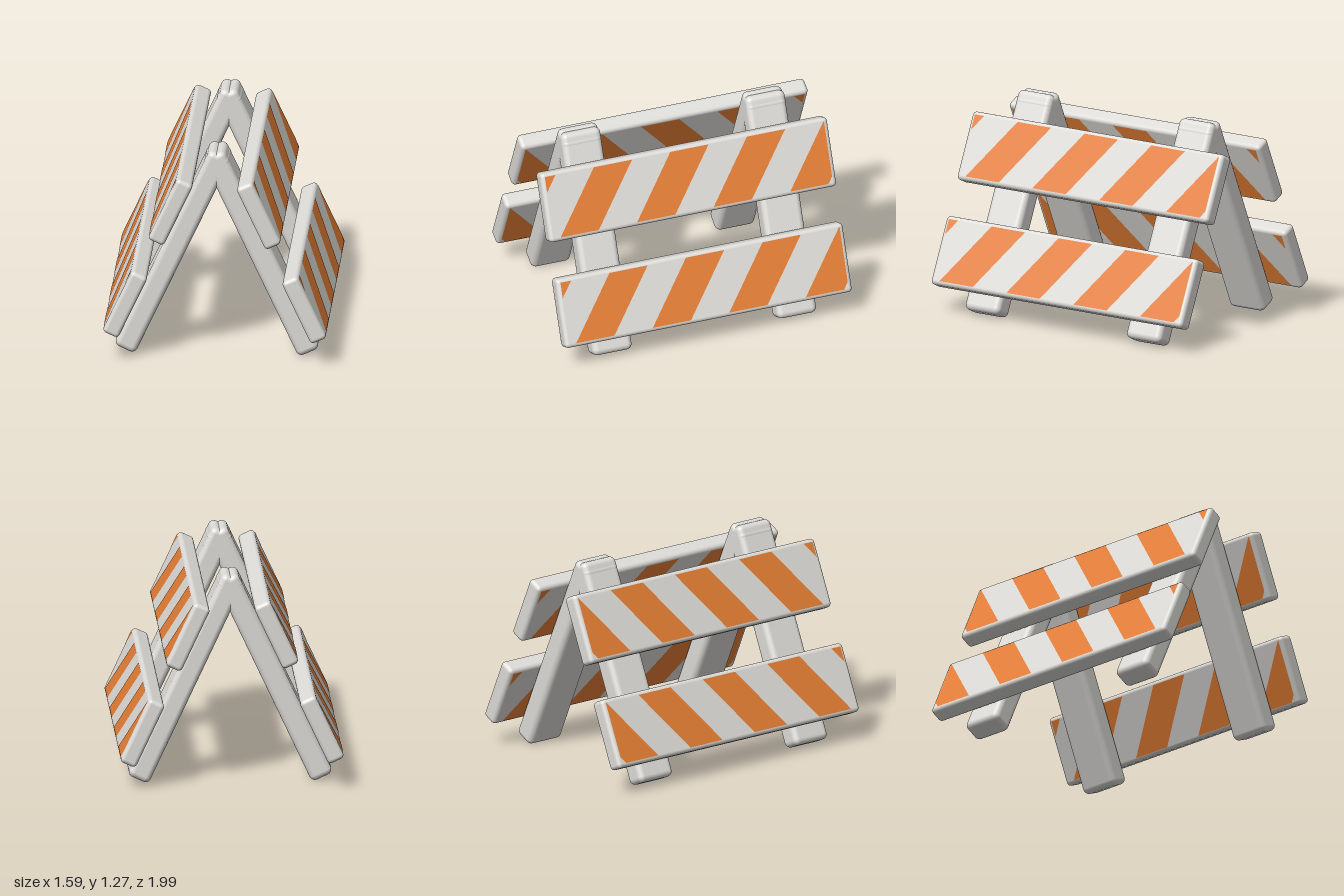
import * as THREE from 'three';
import { RoundedBoxGeometry } from 'three/addons/geometries/RoundedBoxGeometry.js';

const TILT = THREE.MathUtils.degToRad(25);   // lean of each frame
const TURN = THREE.MathUtils.degToRad(8.8);  // whole barricade turned on the ground
const PLANK = { t: 0.105, w: 0.425, len: 1.83 };
const PAINT = { halfLen: 0.89, halfW: 0.19 };

const white = new THREE.MeshStandardMaterial({ color: 0xdddcd8 });
white.name = 'offWhite';
const orange = new THREE.MeshStandardMaterial({ color: 0xe67e34 });
orange.name = 'orange';

function add(parent, name, geometry, material) {
  const mesh = new THREE.Mesh(geometry, material);
  mesh.name = name;
  parent.add(mesh);
  return mesh;
}

// Keep the part of a polygon where sign * x <= limit
function clip(points, sign, limit) {
  const out = [];
  points.forEach((a, i) => {
    const b = points[(i + 1) % points.length];
    const da = limit - sign * a.x, db = limit - sign * b.x;
    if (da >= 0) out.push(a);
    if (da * db < 0) out.push(a.clone().lerp(b, da / (da - db)));
  });
  return out;
}

// Slanted stripes clipped to the painted rectangle; mirror is 1 or -1
function stripeGeometry(mirror) {
  const { halfLen, halfW } = PAINT;
  const period = 0.488, width = 0.244, slant = 0.27;
  const shapes = [];
  for (let i = 0; i < 5; i++) {
    const x = -1.066 + i * period; // left edge at the top of the plank
    let pts = [
      new THREE.Vector2(x, halfW),
      new THREE.Vector2(x - slant, -halfW),
      new THREE.Vector2(x - slant + width, -halfW),
      new THREE.Vector2(x + width, halfW),
    ];
    pts = clip(clip(pts, 1, halfLen), -1, halfLen);
    if (pts.length < 3) continue;
    shapes.push(new THREE.Shape(pts.map(p => new THREE.Vector2(p.x * mirror, p.y))));
  }
  return new THREE.ShapeGeometry(shapes);
}

export function createModel() {
  const model = new THREE.Group();
  model.name = 'barricade';
  model.rotation.y = TURN;

  const legGeo = new RoundedBoxGeometry(0.14, 1.366, 0.25, 3, 0.035);
  const plankGeo = new RoundedBoxGeometry(PLANK.t, PLANK.w, PLANK.len, 3, 0.025);

  for (const side of [1, -1]) {
    const label = side > 0 ? 'left' : 'right';

    // Two legs that cross their partners at the ridge
    for (const end of [1, -1]) {
      const leg = add(model, `${label}${end > 0 ? 'Front' : 'Back'}Leg`, legGeo, white);
      leg.position.set(side * 0.266, 0.641, end * 0.588);
      leg.rotation.z = side * TILT;
    }

    // Two planks, striped on both faces
    const stripes = stripeGeometry(side);
    const lift = side > 0 ? 0 : 0.01;
    for (const [name, x, y] of [['Upper', 0.265, 0.947], ['Lower', 0.538, 0.358]]) {
      const plank = new THREE.Group();
      plank.name = `${label}${name}Plank`;
      plank.position.set(side * x, y + lift, side > 0 ? 0 : -0.012);
      plank.rotation.z = side * TILT;
      add(plank, 'board', plankGeo, white);
      for (const face of [1, -1]) {
        const paint = add(plank, 'stripes', stripes, orange);
        paint.position.x = face * (PLANK.t / 2 + 0.002);
        paint.rotation.y = face * Math.PI / 2;
      }
      model.add(plank);
    }
  }

  const root = new THREE.Group();
  root.name = 'stripedBarricade';
  root.add(model);
  return root;
}
